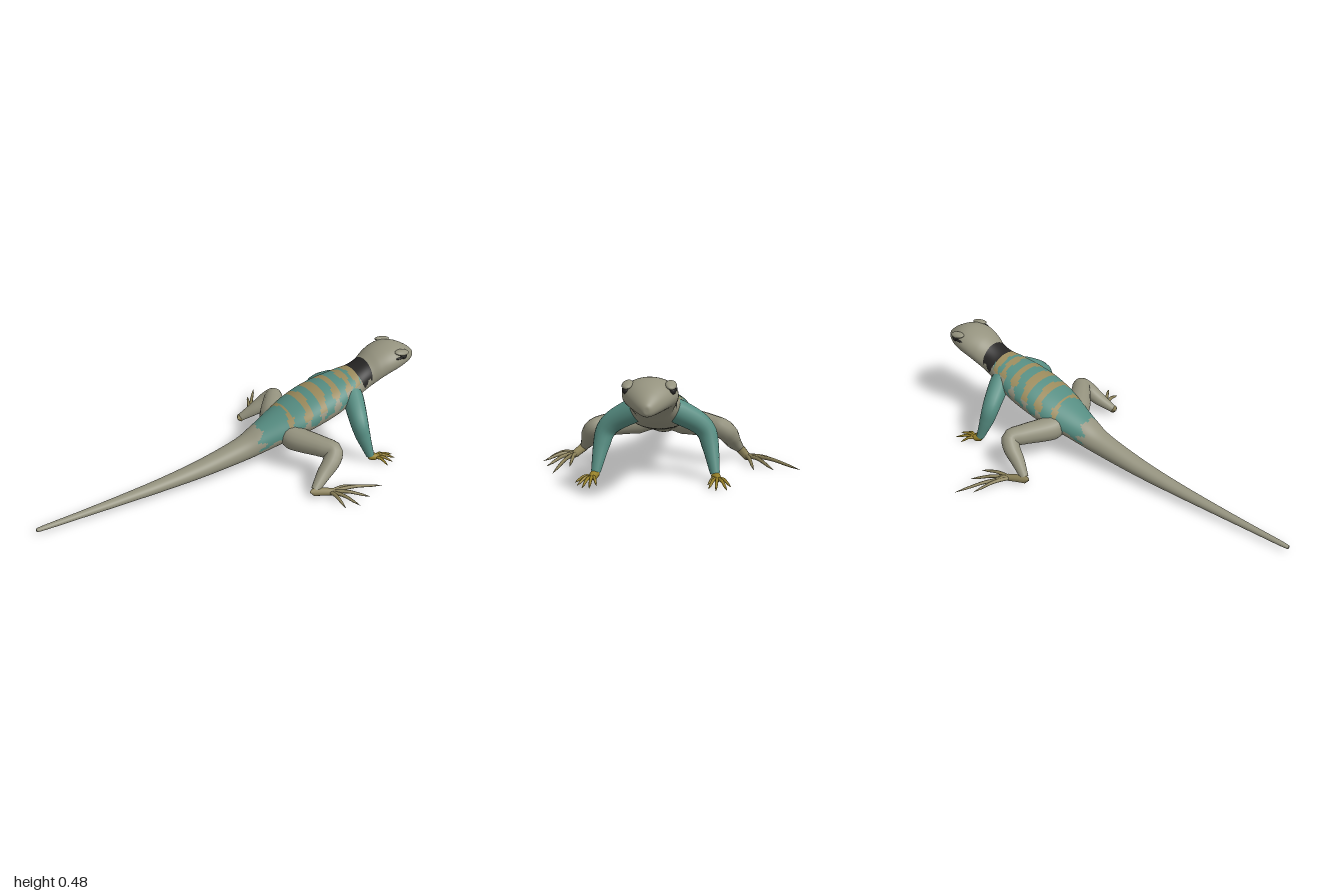
import * as THREE from 'three';

const MID = 0.045; // z of the body's midline

const mat = (name, color) => {
  const m = new THREE.MeshStandardMaterial({ color });
  m.name = name;
  return m;
};

export function createModel() {
  const root = new THREE.Group();
  root.name = 'lizard';
  const skin = mat('grey olive skin', 0x95937f);
  const teal = mat('teal', 0x568d82);
  const tan = mat('tan band', 0x9a8a5c);
  const black = mat('black', 0x262524);
  const gold = mat('golden hand', 0x968028);
  const footTan = mat('tan foot', 0x8a8058);

  const add = (name, geo, material, parent = root) => {
    const m = new THREE.Mesh(geo, material);
    m.name = name;
    parent.add(m);
    return m;
  };

  // Body profile: x, top y, bottom y, half width
  const profile = [
    [-1, 0.022, 0.022, 0], [-0.998, 0.032, 0.013, 0.011], [-0.8, 0.046, 0.015, 0.018],
    [-0.6, 0.062, 0.019, 0.026], [-0.4, 0.083, 0.024, 0.035], [-0.2, 0.115, 0.034, 0.046],
    [0, 0.165, 0.055, 0.06], [0.1, 0.21, 0.076, 0.078], [0.2, 0.257, 0.108, 0.104],
    [0.3, 0.302, 0.138, 0.13], [0.4, 0.34, 0.165, 0.138], [0.5, 0.365, 0.195, 0.133],
    [0.6, 0.387, 0.232, 0.112], [0.65, 0.4, 0.25, 0.094], [0.7, 0.425, 0.27, 0.086],
    [0.75, 0.457, 0.302, 0.098], [0.8, 0.476, 0.33, 0.107], [0.85, 0.483, 0.346, 0.106],
    [0.9, 0.474, 0.354, 0.089], [0.95, 0.448, 0.357, 0.058], [0.985, 0.42, 0.362, 0.03],
    [0.998, 0.405, 0.372, 0.014], [1, 0.388, 0.388, 0],
  ];

  // Skin pattern: s is 1 on the spine, 0 on the flank, -1 on the belly
  const bands = [0.25, 0.335, 0.415, 0.495, 0.57, 0.625];
  const pattern = (x, s) => {
    if (x > 0.632 + 0.02 * (1 - s) && x < 0.705 && s > 0.08 + 0.15 * Math.sin(x * 130)) return 3;
    const bx = x + 0.025 * (1 - s);
    const limit = -0.12 + Math.max(0, x - 0.42) * 1.7 + 0.1 * Math.sin(x * 47);
    if (x < 0.095 + 0.02 * Math.sin(s * 9) || bx > 0.645 || s < limit) return 0;
    for (const [i, b] of bands.entries()) {
      const half = (i === 0 ? 0.011 : 0.017) + 0.005 * Math.sin(s * 11 + i * 2);
      if (Math.abs(bx - b) < half) return s > 0.42 + 0.12 * Math.sin(i * 5) ? 2 : 0;
    }
    return 1;
  };

  // Torso, head and tail in one loft
  const mids = new THREE.CatmullRomCurve3(
    profile.map(([x, t, b]) => new THREE.Vector3(x, (t + b) / 2, (t - b) / 2)), false, 'catmullrom');
  const widths = new THREE.CatmullRomCurve3(
    profile.map(([x, , , w]) => new THREE.Vector3(x, w, 0)), false, 'catmullrom');
  const rings = (profile.length - 1) * 11, sides = 56;
  const pos = [], lists = [[], [], [], []];
  for (let i = 0; i <= rings; i++) {
    const m = mids.getPoint(i / rings), w = widths.getPoint(i / rings);
    for (let j = 0; j < sides; j++) {
      const a = (j / sides) * Math.PI * 2;
      pos.push(m.x, m.y + m.z * Math.sin(a), MID + w.y * Math.cos(a));
    }
    if (i === rings) break;
    const nx = mids.getPoint((i + 0.5) / rings).x;
    for (let j = 0; j < sides; j++) {
      const s = Math.sin(((j + 0.5) / sides) * Math.PI * 2);
      const a = i * sides + j, b = i * sides + ((j + 1) % sides);
      lists[pattern(nx, s)].push(a, a + sides, b, b, a + sides, b + sides);
    }
  }
  const bodyGeo = new THREE.BufferGeometry();
  bodyGeo.setAttribute('position', new THREE.Float32BufferAttribute(pos, 3));
  bodyGeo.setIndex(lists.flat());
  let start = 0;
  lists.forEach((l, k) => { bodyGeo.addGroup(start, l.length, k); start += l.length; });
  bodyGeo.computeVertexNormals();
  add('body', bodyGeo, [skin, teal, tan, black]);

  // Tapered tube through [x, y, sideways distance, radius] points
  const limb = (side, pts, segs, radial) => {
    const curve = new THREE.CatmullRomCurve3(
      pts.map(([x, y, z]) => new THREE.Vector3(x, y, MID + side * z)));
    const geo = new THREE.TubeGeometry(curve, segs, 1, radial);
    const p = geo.attributes.position, v = new THREE.Vector3();
    for (let i = 0; i <= segs; i++) {
      const c = curve.getPointAt(i / segs);
      const t = curve.getUtoTmapping(i / segs) * (pts.length - 1);
      const k = Math.min(Math.floor(t), pts.length - 2);
      const r = THREE.MathUtils.lerp(pts[k][3], pts[k + 1][3], t - k);
      for (let j = 0; j <= radial; j++) {
        const n = i * (radial + 1) + j;
        v.fromBufferAttribute(p, n).sub(c).multiplyScalar(r).add(c);
        p.setXYZ(n, v.x, v.y, v.z);
      }
    }
    return geo;
  };

  // Clawed digits fanning out of a palm
  const digits = (name, side, palm, tips, r, material, parent) => {
    for (const [dx, dz] of tips) {
      const [x, y, z] = palm;
      add(name, limb(side, [
        [x, y, z, r], [x + dx * 0.45, y + 0.006, z + dz * 0.45, r * 0.85],
        [x + dx * 0.8, 0.012, z + dz * 0.8, r * 0.6], [x + dx, 0.003, z + dz, 0.0005],
      ], 10, 7), material, parent);
    }
  };

  // Digit tips relative to the palm, for each side
  const fingers = {
    1: [[0.03, 0.07], [0.07, 0.055], [0.1, 0.03], [0.105, 0], [0.07, -0.025]],
    '-1': [[0.11, -0.005], [0.105, 0.04], [0.055, 0.055], [0.085, -0.035], [0.035, -0.04]],
  };
  const toes = {
    1: [[0.26, 0.06], [0.16, 0.105], [0.08, 0.135], [0.01, 0.12], [0.16, 0.005]],
    '-1': [[0.155, 0.23], [0.165, 0.115], [0.165, 0.03], [0.085, 0.175], [0.08, 0.09]],
  };

  for (const side of [1, -1]) {
    const label = side > 0 ? 'left' : 'right';

    // Foreleg
    const fore = new THREE.Group();
    fore.name = label + 'Foreleg';
    root.add(fore);
    add('arm', limb(side, [
      [0.6, 0.32, 0.04, 0.045], [0.585, 0.288, 0.1, 0.052], [0.562, 0.238, 0.178, 0.046],
      [0.558, 0.2, 0.21, 0.042], [0.57, 0.145, 0.226, 0.036], [0.607, 0.035, 0.247, 0.02],
    ], 30, 16), teal, fore);
    add('hand', limb(side, [
      [0.598, 0.035, 0.245, 0.003], [0.606, 0.03, 0.248, 0.019], [0.635, 0.022, 0.256, 0.018],
      [0.655, 0.018, 0.262, 0.003],
    ], 10, 12), gold, fore);
    digits('finger', side, [0.63, 0.02, 0.257], fingers[side], 0.0085, gold, fore);

    // Hind leg
    const hind = new THREE.Group();
    hind.name = label + 'HindLeg';
    root.add(hind);
    add('leg', limb(side, [
      [0.235, 0.175, 0.04, 0.05], [0.25, 0.17, 0.105, 0.062], [0.325, 0.167, 0.225, 0.05],
      [0.36, 0.16, 0.28, 0.044], [0.335, 0.13, 0.305, 0.042], [0.28, 0.085, 0.325, 0.034],
      [0.215, 0.035, 0.355, 0.02],
    ], 36, 16), skin, hind);
    add('foot', limb(side, [
      [0.19, 0.03, 0.352, 0.003], [0.208, 0.03, 0.358, 0.021], [0.25, 0.025, 0.372, 0.019],
      [0.295, 0.018, 0.387, 0.017], [0.32, 0.015, 0.395, 0.003],
    ], 14, 12), footTan, hind);
    digits('toe', side, [0.28, 0.02, 0.382], toes[side], 0.01, footTan, hind);

    // Eye under a heavy brow
    const ball = new THREE.SphereGeometry(1, 20, 14);
    const eye = add(label + 'Eye', ball, black);
    eye.scale.set(0.024, 0.017, 0.016);
    eye.position.set(0.878, 0.441, MID + side * 0.086);
    const brow = add(label + 'Brow', ball, skin);
    brow.scale.set(0.042, 0.012, 0.022);
    brow.position.set(0.872, 0.46, MID + side * 0.082);
    brow.rotation.set(side * 0.2, 0, -0.15);
    const corner = add(label + 'EyeCorner', ball, black);
    corner.scale.set(0.022, 0.005, 0.006);
    corner.position.set(0.85, 0.44, MID + side * 0.099);
  }
  return root;
}
